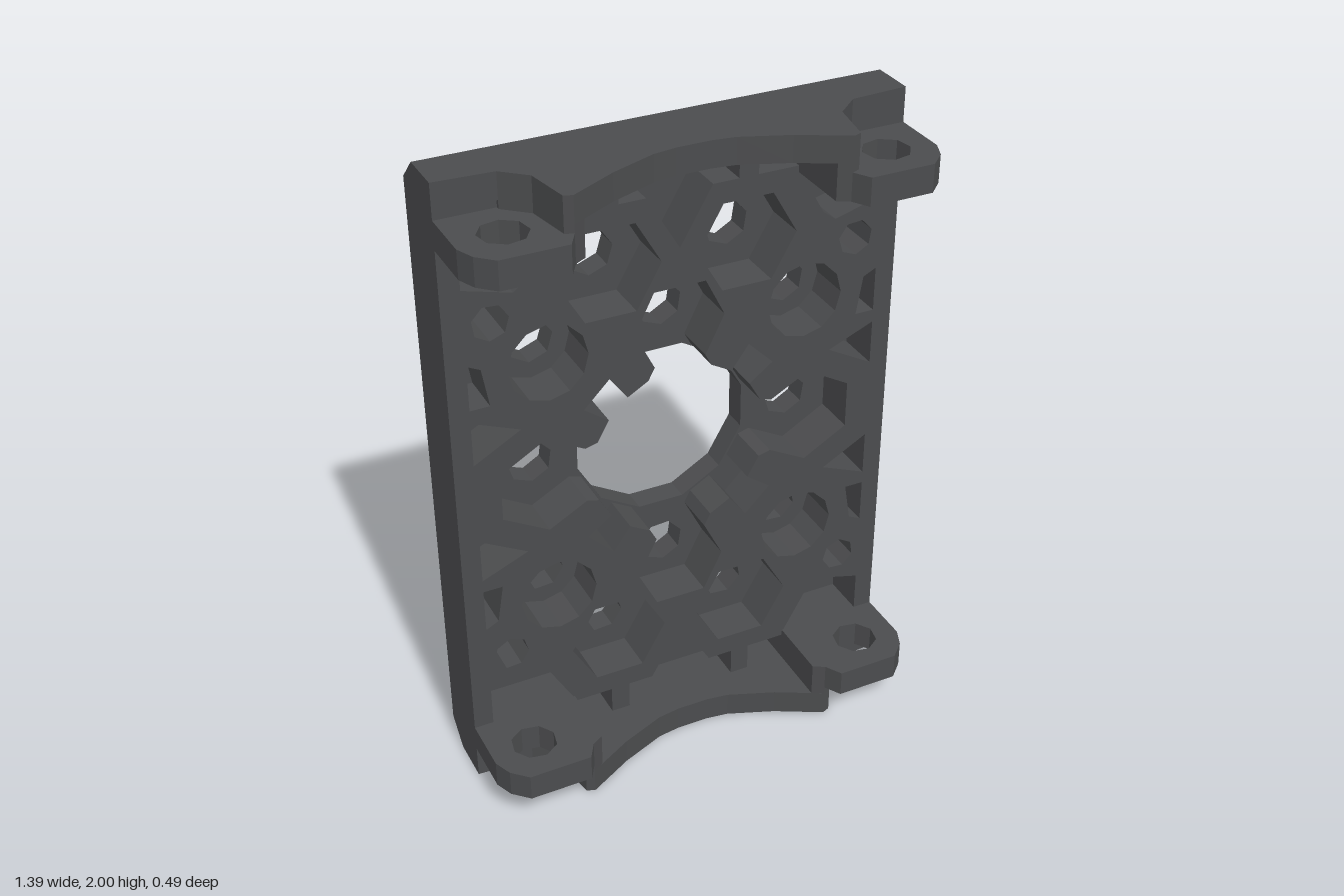
import * as THREE from 'three';

const BACK = -0.245, FLOOR = -0.17, FRONT = -0.033;

export function createModel() {
  const model = new THREE.Group();
  model.name = 'mountingPlate';
  const mat = new THREE.MeshStandardMaterial({ color: 0x4b4c4e, flatShading: true });

  const add = (parent, name, geo) => {
    const mesh = new THREE.Mesh(geo, mat);
    mesh.name = name;
    parent.add(mesh);
  };
  const ngon = (x, y, r, n, start = 0) => Array.from({ length: n }, (_, i) => {
    const a = start + (i / n) * Math.PI * 2;
    return [x + r * Math.cos(a), y + r * Math.sin(a)];
  });
  const pts = (list) => list.map(([x, y]) => new THREE.Vector2(x, y));
  const extrude = (outline, holes, depth) => {
    const shape = new THREE.Shape(pts(outline));
    shape.holes = holes.map((h) => new THREE.Path(pts(h)));
    return new THREE.ExtrudeGeometry(shape, { depth, bevelEnabled: false });
  };
  // upright slab in the front plane, between two depths
  const slab = (outline, holes, z0, z1) => extrude(outline, holes, z1 - z0).translate(0, 0, z0);
  // lying slab, outline given as x,z, between two heights
  const shelf = (outline, holes, y0, y1) =>
    extrude(outline, holes, y1 - y0).rotateX(Math.PI / 2).translate(0, y1, 0);
  // copies of an outline in all four quadrants, heights measured from the middle
  const quads = (list) => [[1, 1], [-1, 1], [1, -1], [-1, -1]].map(([sx, sy]) =>
    list.map(([x, y]) => [sx * x, 1 + sy * y]));

  // thin back sheet with all through holes
  const screwHole = quads(ngon(0.56, 0.565, 0.055, 7, 0.3));
  const sheetHoles = [
    ngon(0, 1, 0.28, 12, Math.PI / 12),
    ...quads(ngon(0.21, 0.63, 0.07, 7, 0.3)),
    ...quads(ngon(0.4, 0.4, 0.07, 7, 0.3)),
    ...screwHole,
  ];
  for (const s of [1, -1]) {
    sheetHoles.push(ngon(0, 1 + s * 0.42, 0.07, 7, 0.3), ngon(s * 0.42, 1, 0.07, 7, 0.3));
  }
  add(model, 'backSheet', slab([[-0.695, 0.07], [0.695, 0.07], [0.695, 1.93], [-0.695, 1.93]],
    sheetHoles, BACK, FLOOR));

  // central opening of the lattice: four nut pockets, four notches, eight tabs
  const quarter = [[0.56, 0.075], [0.42, 0.155], [0.3, 0.09], [0.262, 0.1], [0.225, 0.165], [0.3, 0.22],
    [0.22, 0.3], [0.165, 0.225], [0.1, 0.262], [0.08, 0.3], [0.14, 0.42], [0.08, 0.54]];
  const turned = (sx, sy) => quarter.map(([x, y]) => [sx * x, 1 + sy * y]);
  const opening = [...turned(1, 1), ...turned(-1, 1).reverse(), ...turned(-1, -1), ...turned(1, -1).reverse()];

  // raised lattice with its pockets
  const topPocket = [[-0.18, 0.92], [-0.18, 0.83], [-0.1, 0.83], [0, 0.66], [0.1, 0.83], [0.18, 0.83], [0.18, 0.92]];
  const pockets = [
    opening,
    ...screwHole,
    ...quads(ngon(0.21, 0.63, 0.155, 6)),
    ...quads(ngon(0.4, 0.4, 0.12, 12)),
    ...quads([[0.365, 0.92], [0.365, 0.83], [0.24, 0.83], [0.24, 0.92]]),
    ...quads([[0.635, 0.81], [0.635, 0.68], [0.49, 0.64], [0.45, 0.67], [0.37, 0.81]]),
    ...quads([[0.635, 0.13], [0.49, 0.21], [0.635, 0.27]]),
    ...quads([[0.635, 0.31], [0.575, 0.31], [0.595, 0.43], [0.635, 0.45]]),
    topPocket.map(([x, y]) => [x, 1 + y]),
    topPocket.map(([x, y]) => [x, 1 - y]),
  ];
  add(model, 'lattice', slab([[-0.695, 0], [0.695, 0], [0.695, 2], [-0.695, 2]], pockets, FLOOR, FRONT));

  // one end: bevelled edge, arched flange and two screw ears
  const makeEnd = (name) => {
    const end = new THREE.Group();
    end.name = name;

    const wedge = extrude([[-BACK, 1.93], [-FLOOR, 2], [-FLOOR, 1.93]], [], 1.39);
    add(end, 'bevelEdge', wedge.rotateY(Math.PI / 2).translate(-0.695, 0, 0));

    const arch = [[0.4, 0.19], [0.26, 0.115], [0.12, 0.06], [0.05, 0.05]];
    const half = [[0.695, -0.06], [0.695, -0.033], [0.52, -0.022], [0.45, 0.04], [0.425, 0.18], ...arch];
    const mirror = half.map(([x, z]) => [-x, z]).reverse();
    add(end, 'archedFlange', shelf([...half, ...mirror], [], 1.92, 2));

    for (const s of [1, -1]) {
      const flip = (list) => list.map(([x, z]) => [s * x, z]);
      add(end, 'flangeLeg', shelf(flip([[0.365, -0.06], [0.52, -0.06], [0.52, -0.022], [0.45, 0.04],
        [0.425, 0.18], [0.4, 0.19], [0.365, 0.17]]), [], 1.81, 2));
      add(end, 'screwEar', shelf(flip([[0.4, -0.06], [0.695, -0.06], [0.695, 0.14], [0.672, 0.195], [0.625, 0.24],
        [0.43, 0.24], [0.4, 0.19]]), [ngon(s * 0.557, 0.103, 0.07, 8, 0.2)], 1.81, 1.895));
    }
    return end;
  };
  const bottom = makeEnd('bottomEnd');
  bottom.rotation.z = Math.PI;
  bottom.position.y = 2;
  model.add(makeEnd('topEnd'), bottom);
  return model;
}
